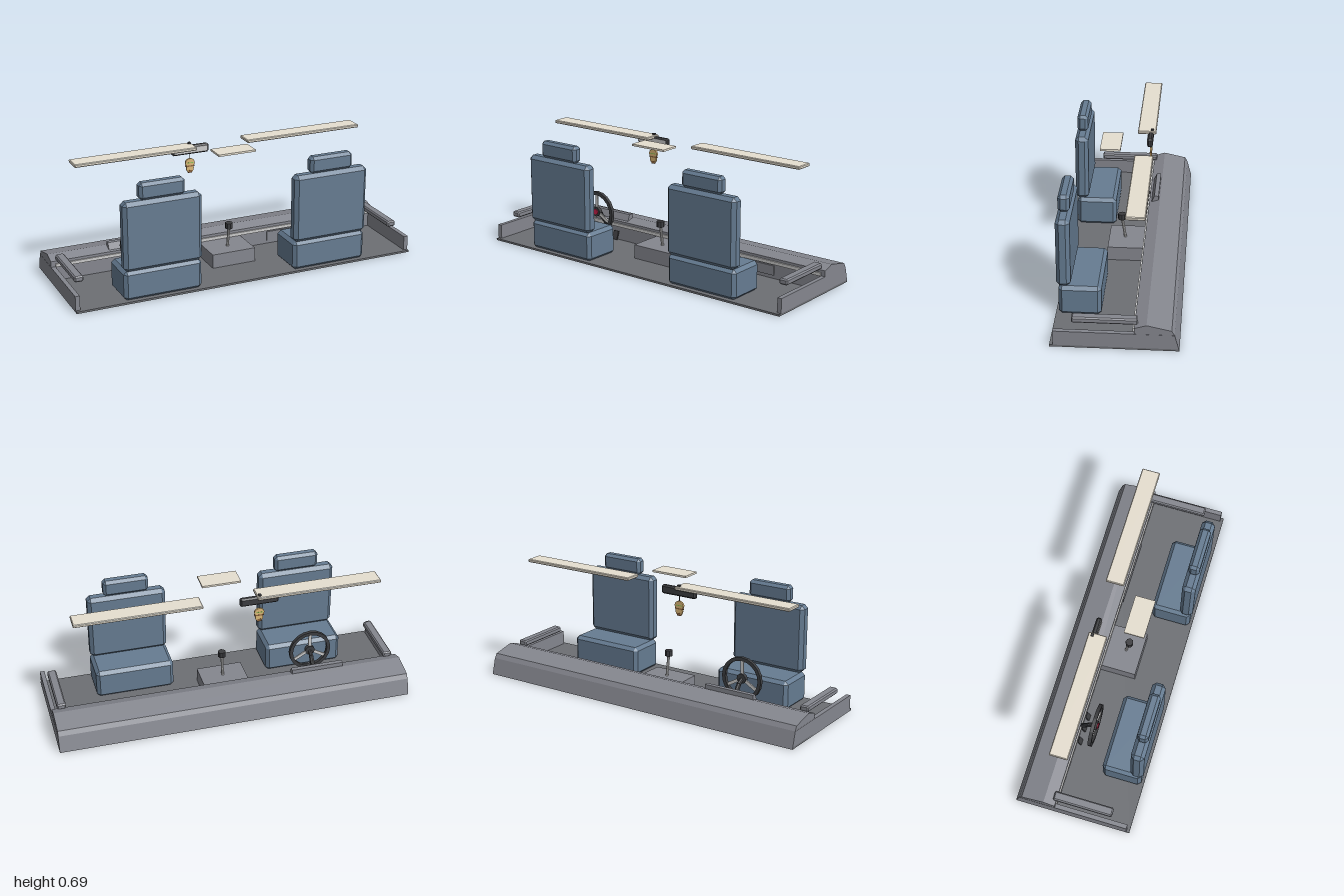
import * as THREE from 'three';
import { ConvexGeometry } from 'three/addons/geometries/ConvexGeometry.js';

const mat = (color) => new THREE.MeshStandardMaterial({ color, flatShading: true });
const M = {
  trim: mat(0x85878f), floor: mat(0x6d6f74), seat: mat(0x667c92), cream: mat(0xe6dfd0), dark: mat(0x3c3d40),
  light: mat(0xcccccc), tan: mat(0xdcb878), brown: mat(0x8a623c), green: mat(0x7fc050), red: mat(0xc8204a),
};

export function createModel() {
  const model = new THREE.Group();

  const add = (name, geometry, material, parent = model) => {
    const mesh = new THREE.Mesh(geometry, material);
    mesh.name = name;
    parent.add(mesh);
    return mesh;
  };
  // Box given by its limits on each axis
  const box = (name, [x0, x1], [y0, y1], [z0, z1], material, parent) => {
    const g = new THREE.BoxGeometry(x1 - x0, y1 - y0, z1 - z0);
    g.translate((x0 + x1) / 2, (y0 + y1) / 2, (z0 + z1) / 2);
    return add(name, g, material, parent);
  };
  // Box with all edges cut at 45 degrees
  const chamferBox = (name, [x0, x1], [y0, y1], [z0, z1], c, material, parent) => {
    const pts = [];
    const h = [(x1 - x0) / 2, (y1 - y0) / 2, (z1 - z0) / 2];
    for (const sx of [-1, 1]) for (const sy of [-1, 1]) for (const sz of [-1, 1]) {
      for (let full = 0; full < 3; full++) {
        const [a, b, d] = h.map((v, i) => (i === full ? v : v - c));
        pts.push(new THREE.Vector3(sx * a, sy * b, sz * d));
      }
    }
    const g = new ConvexGeometry(pts);
    g.translate((x0 + x1) / 2, (y0 + y1) / 2, (z0 + z1) / 2);
    return add(name, g, material, parent);
  };
  // Side profile of (z, y) points swept along x
  const sweep = (name, profile, x0, x1, material) => {
    const shape = new THREE.Shape(profile.map(([z, y]) => new THREE.Vector2(-z, y)));
    const g = new THREE.ExtrudeGeometry(shape, { depth: x1 - x0, bevelEnabled: false });
    g.rotateY(Math.PI / 2).translate(x0, 0, 0);
    return add(name, g, material);
  };
  // Cylinder between two points
  const rod = (name, a, b, r, sides, material) => {
    const from = new THREE.Vector3(...a), to = new THREE.Vector3(...b);
    const mesh = add(name, new THREE.CylinderGeometry(r, r, from.distanceTo(to), sides), material);
    mesh.position.copy(from).add(to).multiplyScalar(0.5);
    mesh.quaternion.setFromUnitVectors(new THREE.Vector3(0, 1, 0), to.sub(from).normalize());
    return mesh;
  };

  // Floor, side walls and armrests
  box('floor', [-1, 1], [0.005, 0.016], [-0.325, 0.33], M.floor);
  for (const s of [-1, 1]) {
    const wall = [[0.313, 0.005], [0.313, 0.097], [-0.305, 0.097], [-0.33, 0.005]];
    sweep('sideWall', wall, s > 0 ? 0.975 : -1, s > 0 ? 1 : -0.975, M.trim);
    chamferBox('armrest', s > 0 ? [0.92, 0.97] : [-0.97, -0.92], [0.13, 0.163], [-0.117, 0.22], 0.007, M.trim);
  }

  // Dashboard with trim strip, instrument hood and glovebox
  sweep('dashboard', [[-0.1, 0.01], [-0.1, 0.13], [-0.163, 0.15], [-0.29, 0.122],
    [-0.305, 0.097], [-0.33, 0.005]], -0.999, 0.999, M.trim);
  box('dashStrip', [-0.975, 0.975], [0.097, 0.115], [-0.103, -0.092], M.light);
  sweep('instrumentHood', [[-0.112, 0.13], [-0.13, 0.172], [-0.155, 0.172], [-0.155, 0.14]], -0.66, -0.36, M.trim);
  box('glovebox', [0.3, 0.68], [0.035, 0.09], [-0.105, -0.093], M.trim);

  // Seats
  for (const x of [-0.505, 0.489]) {
    const seat = new THREE.Group();
    seat.name = 'seat';
    seat.position.x = x;
    model.add(seat);
    chamferBox('cushion', [-0.222, 0.222], [0.012, 0.18], [0.09, 0.315], 0.019, M.seat, seat);
    chamferBox('backrest', [-0.222, 0.222], [0.18, 0.567], [0.25, 0.325], 0.02, M.seat, seat);
    chamferBox('headrest', [-0.128, 0.128], [0.567, 0.662], [0.258, 0.32], 0.016, M.seat, seat);
  }

  // Centre tunnel and gear lever
  box('tunnel', [-0.13, 0.128], [0.012, 0.096], [-0.1, 0.105], M.trim);
  rod('gearLever', [0, 0.09, 0.013], [0, 0.215, 0.032], 0.008, 8, M.light);
  rod('gearKnob', [0, 0.21, 0.033], [0, 0.243, 0.033], 0.022, 8, M.dark);

  // Steering wheel
  const wheelX = -0.508;
  rod('steeringColumn', [wheelX, 0.1, -0.1], [wheelX, 0.172, -0.042], 0.013, 8, M.dark);
  rod('steeringShaft', [wheelX, 0.17, -0.05], [wheelX, 0.19, -0.012], 0.012, 8, M.dark);
  const wheel = new THREE.Group();
  wheel.name = 'steeringWheel';
  wheel.position.set(wheelX, 0.193, -0.012);
  model.add(wheel);
  const section = [[0.102, -0.01], [0.122, -0.01], [0.122, 0.01], [0.102, 0.01], [0.102, -0.01]];
  const rim = new THREE.LatheGeometry(section.map((p) => new THREE.Vector2(...p)), 20);
  add('rim', rim.rotateX(Math.PI / 2), M.dark, wheel);
  add('hub', new THREE.CylinderGeometry(0.028, 0.028, 0.022, 12).rotateX(Math.PI / 2), M.dark, wheel);
  add('hornButton', new THREE.CylinderGeometry(0.016, 0.016, 0.008, 10).rotateX(Math.PI / 2), M.red, wheel)
    .position.z = 0.013;
  for (let i = 0; i < 3; i++) {
    const spoke = box('spoke', [0.02, 0.106], [-0.009, 0.009], [-0.004, 0.004], M.light, wheel);
    spoke.rotation.z = Math.PI / 2 + (i * Math.PI * 2) / 3;
  }

  // Pedals
  for (const x of [-0.58, -0.5, -0.43]) {
    const pedal = box('pedal', [-0.017, 0.017], [-0.026, 0.026], [-0.004, 0.004], M.dark);
    pedal.position.set(x, 0.045, -0.085);
    pedal.rotation.x = -0.35;
  }

  // Sun visors and roof lamp panel
  chamferBox('sunVisor', [-0.86, -0.155], [0.665, 0.683], [-0.147, -0.045], 0.004, M.cream);
  chamferBox('sunVisor', [0.15, 0.855], [0.665, 0.683], [-0.147, -0.045], 0.004, M.cream);
  box('roofPanel', [-0.11, 0.11], [0.681, 0.692], [0.033, 0.145], M.cream);

  // Rear-view mirror
  chamferBox('mirrorHousing', [-0.278, -0.06], [0.628, 0.677], [-0.132, -0.102], 0.008, M.dark);
  box('mirrorGlass', [-0.268, -0.07], [0.637, 0.668], [-0.104, -0.1], M.light);
  box('mirrorMount', [-0.178, -0.163], [0.66, 0.692], [-0.132, -0.117], M.dark);

  // Hanging charm: stacked rounded slices
  const cx = -0.17, cz = -0.118;
  rod('charmString', [cx, 0.59, cz], [cx, 0.64, cz], 0.002, 6, M.dark);
  const disc = (name, y, rx, ry, depth, material) => {
    const g = new THREE.CylinderGeometry(1, 1, depth, 16).rotateX(Math.PI / 2).scale(rx, ry, 1);
    add(name, g, material).position.set(cx, y, cz);
  };
  disc('charmHead', 0.575, 0.028, 0.025, 0.011, M.tan);
  disc('charmBody', 0.543, 0.022, 0.026, 0.01, M.tan);
  box('charmBand', [cx - 0.026, cx + 0.026], [0.553, 0.56], [cz - 0.006, cz + 0.006], M.brown);
  box('charmRibbon', [cx - 0.02, cx + 0.02], [0.573, 0.577], [cz - 0.006, cz + 0.006], M.green);
  box('charmFoot', [cx - 0.011, cx + 0.011], [0.517, 0.532], [cz - 0.006, cz + 0.006], M.brown);

  return model;
}
